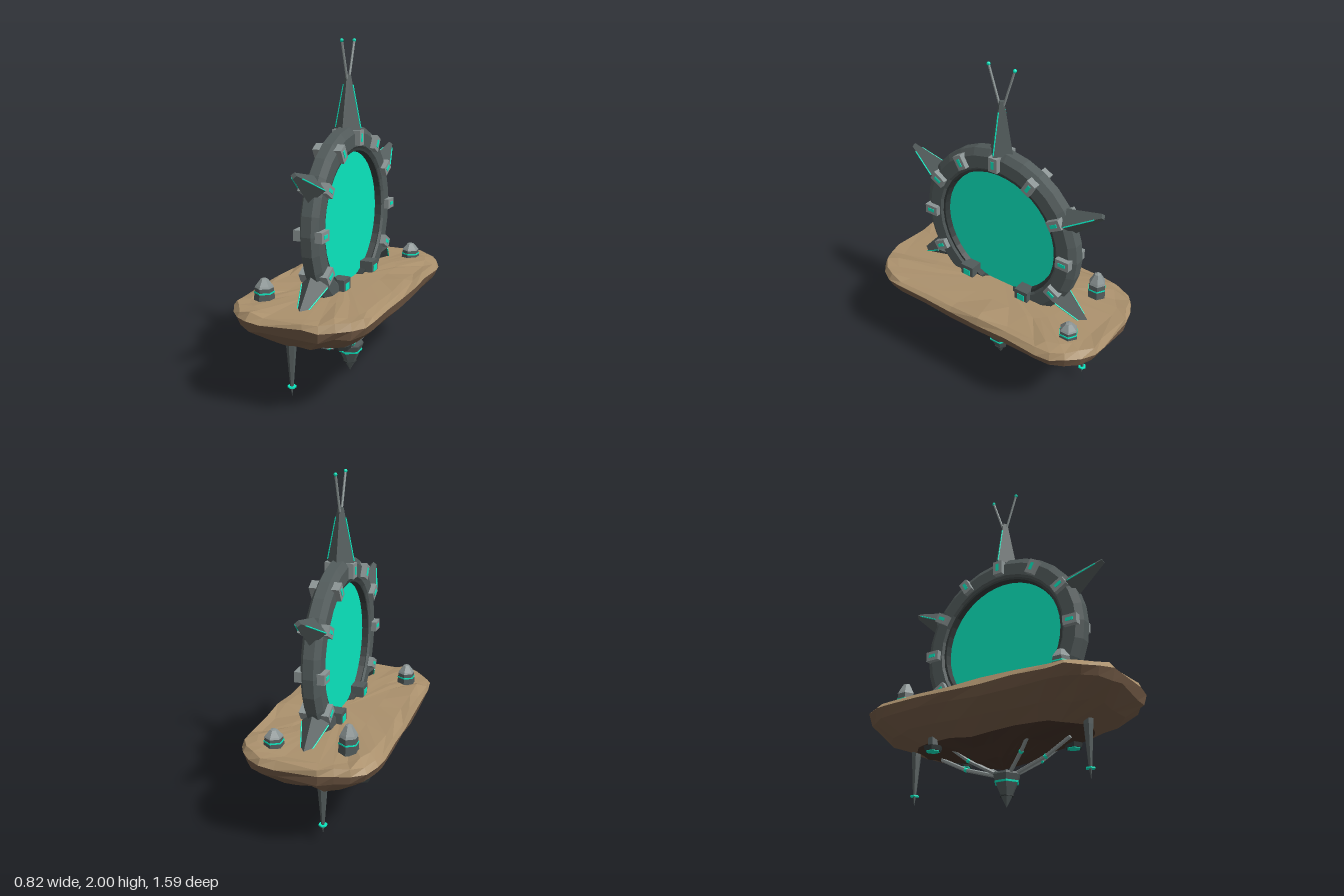
import * as THREE from 'three';

const mat = (color) => new THREE.MeshStandardMaterial({ color, flatShading: true });
const metal = mat(0x525b5b), light = mat(0x8b9494), teal = mat(0x0ae8c0);
const dark = mat(0x343b3b);
const CX = 0.02, CY = 0.968; // portal centre

function add(parent, name, geo, material, x = 0, y = 0, z = 0) {
  const m = new THREE.Mesh(geo, material);
  m.name = name;
  m.position.set(x, y, z);
  parent.add(m);
  return m;
}

function group(parent, name, x = 0, y = 0, z = 0) {
  const g = new THREE.Group();
  g.name = name;
  g.position.set(x, y, z);
  parent.add(g);
  return g;
}

// Straight rod between two points
function rod(parent, name, a, b, r, material) {
  const d = b.clone().sub(a);
  const m = add(parent, name, new THREE.CylinderGeometry(r, r, d.length(), 6), material);
  m.position.copy(a).addScaledVector(d, 0.5);
  m.quaternion.setFromUnitVectors(new THREE.Vector3(0, 1, 0), d.normalize());
}

const lathe = (pts, n) => new THREE.LatheGeometry(pts.map((p) => new THREE.Vector2(...p)), n);
const noise = (i, k) => {
  const s = Math.sin(i * 127.1 + k * 311.7) * 43758.5453;
  return (s - Math.floor(s)) * 2 - 1;
};

// Rounded-rectangle outline: [straight x, straight z, corner x, corner z] factors
function roundedOutline() {
  const out = [], corners = [[1, 1], [-1, 1], [-1, -1], [1, -1]];
  corners.forEach(([ax, az], q) => {
    for (let i = 0; i <= 5; i++) {
      const a = (q + i / 5) * Math.PI / 2;
      out.push([ax, az, Math.cos(a), Math.sin(a)]);
    }
    // extra points along the long sides
    if (q % 2) for (const t of [0.6, 0.2, -0.2, -0.6]) out.push([ax, az * t, ax, 0]);
  });
  return out;
}

// Floating rock: faceted cross-sections, in colour bands
function rock(parent) {
  const outline = roundedOutline(), N = outline.length;
  // height, x half-width, z half-length, jitter
  const levels = [
    [0.59, 0.001, 0.001, 0], [0.59, 0.2, 0.45, 0.004], [0.59, 0.34, 0.7, 0.013],
    [0.583, 0.39, 0.775, 0.012], [0.55, 0.408, 0.797, 0.007], [0.495, 0.388, 0.775, 0.01],
    [0.415, 0.31, 0.69, 0.012], [0.35, 0.215, 0.54, 0.01], [0.3, 0.15, 0.29, 0.008],
    [0.245, 0.085, 0.16, 0.006], [0.2, 0.001, 0.001, 0],
  ];
  const point = (i, k) => {
    const [y, hx, hz, j] = levels[i], [ax, az, c, s] = outline[k % N];
    const r = hx * (i < 6 ? 0.7 : 0.9), w = 1 + j * noise(i, k % N) * 1.5;
    return [(ax * (hx - r) + c * r) * w, y + j * noise(i + 20, k % N), (az * (hz - r) + s * r) * w];
  };
  const g = group(parent, 'floatingRock');
  const band = (name, from, to, color) => {
    const pos = [];
    for (let i = from; i < to; i++) for (let k = 0; k < N; k++) {
      const a = point(i, k), b = point(i, k + 1), c = point(i + 1, k), d = point(i + 1, k + 1);
      pos.push(...a, ...d, ...c, ...a, ...b, ...d);
    }
    const geo = new THREE.BufferGeometry();
    geo.setAttribute('position', new THREE.Float32BufferAttribute(pos, 3));
    geo.computeVertexNormals();
    add(g, name, geo, mat(color));
  };
  band('rockTop', 0, 4, 0xab916d);
  band('rockSide', 4, 7, 0x755c47);
  band('rockUnderside', 7, 10, 0x443228);
}

// Four-sided spike on the ring, with glowing edge strips
function ringSpike(parent, angle, length) {
  const s = group(parent, 'ringSpike');
  s.rotation.x = angle;
  const base = 0.52, r0 = 0.08, r1 = 0.018;
  add(s, 'spikeBody', new THREE.CylinderGeometry(r1, r0, length, 4), metal, 0, base + length / 2, 0);
  for (const side of [-1, 1]) {
    rod(s, 'spikeGlow', new THREE.Vector3(side * r0, base + 0.01, 0),
      new THREE.Vector3(side * (r1 + 0.012), base + length * 0.82, 0), 0.004, teal);
  }
}

function portal(parent) {
  const p = group(parent, 'portal', CX, CY, 0);
  const ring = lathe([[0.4, -0.035], [0.425, -0.057], [0.5, -0.057], [0.54, -0.03], [0.54, 0.03],
    [0.5, 0.057], [0.425, 0.057], [0.4, 0.035], [0.4, -0.035]], 30);
  add(p, 'ring', ring, metal).rotation.z = Math.PI / 2;
  const lining = add(p, 'ringLining', new THREE.TorusGeometry(0.407, 0.02, 6, 40), dark);
  lining.rotation.y = Math.PI / 2;
  lining.scale.z = 2.6;
  add(p, 'portalSurface', new THREE.CylinderGeometry(0.392, 0.392, 0.02, 48), teal).rotation.z = Math.PI / 2;
  add(p, 'portalRim', new THREE.TorusGeometry(0.388, 0.008, 6, 48), teal).rotation.y = Math.PI / 2;

  // Clamps around the visible part of the ring
  for (let i = -4; i <= 4; i++) {
    const c = group(p, 'clamp');
    c.rotation.x = (i * Math.PI) / 6;
    add(c, 'clampBlock', new THREE.BoxGeometry(0.175, 0.087, 0.06), light, 0, 0.475, 0);
    add(c, 'clampLight', new THREE.BoxGeometry(0.181, 0.046, 0.02), teal, 0, 0.475, 0);
  }
  // Foot blocks where the ring meets the ground
  for (const z of [-0.205, 0.205]) {
    add(p, 'footBlock', new THREE.BoxGeometry(0.18, 0.1, 0.09), metal, 0, -0.36, z);
    add(p, 'footLight', new THREE.BoxGeometry(0.186, 0.04, 0.05), teal, 0, -0.355, z);
  }
  ringSpike(p, 0, 0.31);
  for (const side of [-1, 1]) {
    ringSpike(p, side * 1.08, 0.23);
    ringSpike(p, side * 2.16, 0.23);
  }

  // Twin antennas
  for (const side of [-1, 1]) {
    const tip = new THREE.Vector3(0, 1.02, side * 0.085);
    rod(p, 'antenna', new THREE.Vector3(0, 0.8, side * 0.012), tip, 0.007, light);
    add(p, 'antennaTip', new THREE.SphereGeometry(0.011, 8, 6), teal).position.copy(tip);
  }
}

// Hexagonal turret on the ground
function turret(parent, x, z, top) {
  const h = top - 0.57, t = group(parent, 'turret', x, 0.57, z);
  add(t, 'turretBody', lathe([[0.06, 0], [0.055, h * 0.4], [0.05, h * 0.62]], 6), metal);
  add(t, 'turretBand', new THREE.CylinderGeometry(0.057, 0.058, 0.008, 6), teal, 0, h * 0.4, 0);
  add(t, 'turretCap', lathe([[0.054, h * 0.6], [0.048, h * 0.68], [0.02, h * 0.96], [0, h]], 6), light);
}

function underside(parent) {
  const u = group(parent, 'undersideMachinery');
  // Central pointed core
  const core = group(u, 'core', 0.035, 0, 0);
  add(core, 'coreBody', lathe([[0, 0], [0.034, 0.06], [0.064, 0.125], [0.084, 0.175], [0.08, 0.187],
    [0.025, 0.195], [0, 0.215]], 6), metal);
  add(core, 'coreBand', new THREE.CylinderGeometry(0.076, 0.074, 0.01, 6), teal, 0, 0.135, 0);
  add(core, 'coreCollar', new THREE.CylinderGeometry(0.042, 0.042, 0.006, 6), dark, 0, 0.062, 0);

  // Struts from the core up to the rock
  const strut = (...pts) => {
    const [a, b, c] = pts.map((p) => new THREE.Vector3(...p));
    rod(u, 'strutLower', a, b, 0.012, light);
    rod(u, 'strutUpper', b, c, 0.012, light);
    add(u, 'strutJoint', new THREE.IcosahedronGeometry(0.016, 0), teal).position.copy(b);
  };
  for (const sz of [-1, 1]) {
    strut([0.035, 0.18, sz * 0.06], [0.015, 0.24, sz * 0.26], [0, 0.32, sz * 0.42]);
    for (const sx of [-1, 1]) {
      strut([0.035 + sx * 0.03, 0.18, sz * 0.04], [0.02 + sx * 0.11, 0.255, sz * 0.17],
        [0.01 + sx * 0.18, 0.36, sz * 0.29]);
    }
  }
  // Thrusters
  for (const [x, z] of [[0.15, -0.37], [0.15, 0.36], [-0.22, -0.32]]) {
    add(u, 'thruster', new THREE.CylinderGeometry(0.056, 0.048, 0.025, 6), dark, x, 0.313, z);
    add(u, 'thrusterGlow', new THREE.CylinderGeometry(0.04, 0.04, 0.006, 6), teal, x, 0.3, z);
    add(u, 'thrusterMount', new THREE.CylinderGeometry(0.03, 0.03, 0.08, 6), metal, x, 0.36, z);
  }
  // Hanging spikes
  for (const z of [-0.56, 0.56]) {
    const s = group(u, 'hangingSpike', -0.065, 0, z);
    add(s, 'hangingSpikeBody', lathe([[0, 0.055], [0.01, 0.115], [0.028, 0.34], [0.032, 0.42], [0, 0.42]], 6), metal);
    add(s, 'hangingSpikeBand', new THREE.CylinderGeometry(0.026, 0.026, 0.008, 6), teal, 0, 0.112, 0);
  }
}

export function createModel() {
  const model = new THREE.Group();
  model.name = 'floatingPortal';
  rock(model);
  portal(model);
  turret(model, -0.21, -0.54, 0.75);
  turret(model, 0.2, -0.6, 0.685);
  turret(model, -0.255, 0.515, 0.705);
  underside(model);
  return model;
}
